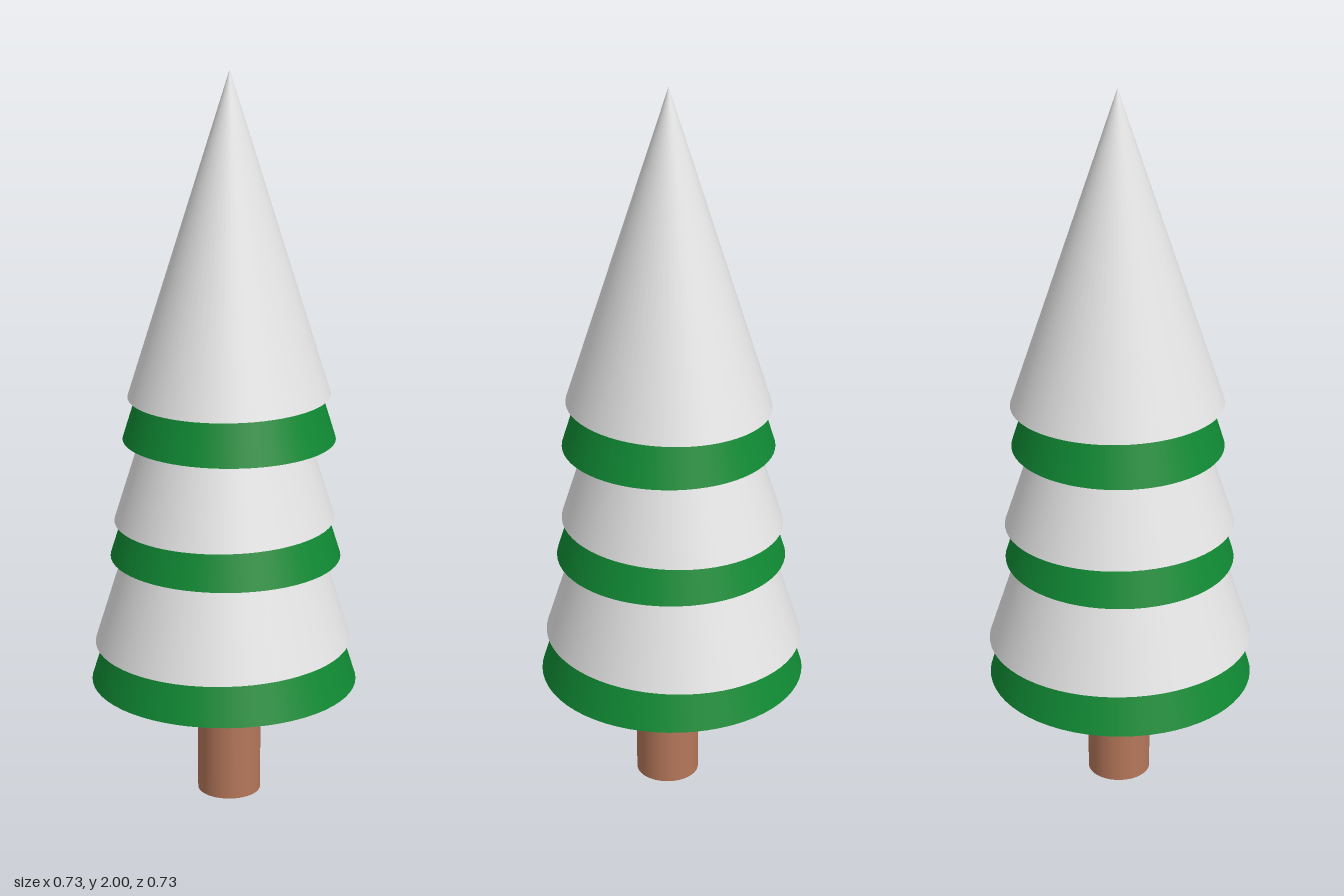
import * as THREE from 'three';

export function createModel() {
  const tree = new THREE.Group();
  tree.name = 'snowyTree';

  const mat = (name, color) => {
    const m = new THREE.MeshStandardMaterial({ color });
    m.name = name;
    return m;
  };
  const snow = mat('snow', 0xe6e6e6);
  const green = mat('foliage', 0x108a34);
  const bark = mat('bark', 0xb5775a);

  // Closed cone standing on y, slightly oval when rx and rz differ
  function addCone(name, material, x, z, y, height, rx, rz) {
    const geometry = new THREE.ConeGeometry(1, 1, 64);
    geometry.translate(0, 0.5, 0).scale(rx, height, rz);
    const cone = new THREE.Mesh(geometry, material);
    cone.name = name;
    cone.position.set(x, y, z);
    tree.add(cone);
  }

  // Trunk
  const trunk = new THREE.Mesh(new THREE.CylinderGeometry(0.087, 0.087, 0.42, 48), bark);
  trunk.name = 'trunk';
  trunk.position.set(0.015, 0.21, 0);
  tree.add(trunk);

  // Three tiers of foliage, each under its own snow cap
  addCone('lowerFoliage', green, -0.001, 0, 0.33, 1.16, 0.364, 0.364);
  addCone('lowerSnow', snow, -0.004, -0.001, 0.444, 1.12, 0.347, 0.364);
  addCone('middleFoliage', green, 0.003, -0.001, 0.688, 1.0, 0.313, 0.313);
  addCone('middleSnow', snow, 0, -0.002, 0.792, 0.95, 0.295, 0.313);
  addCone('upperFoliage', green, 0.013, -0.003, 1.018, 0.92, 0.286, 0.287);
  addCone('upperSnow', snow, 0.013, -0.004, 1.138, 0.862, 0.268, 0.288);

  return tree;
}
